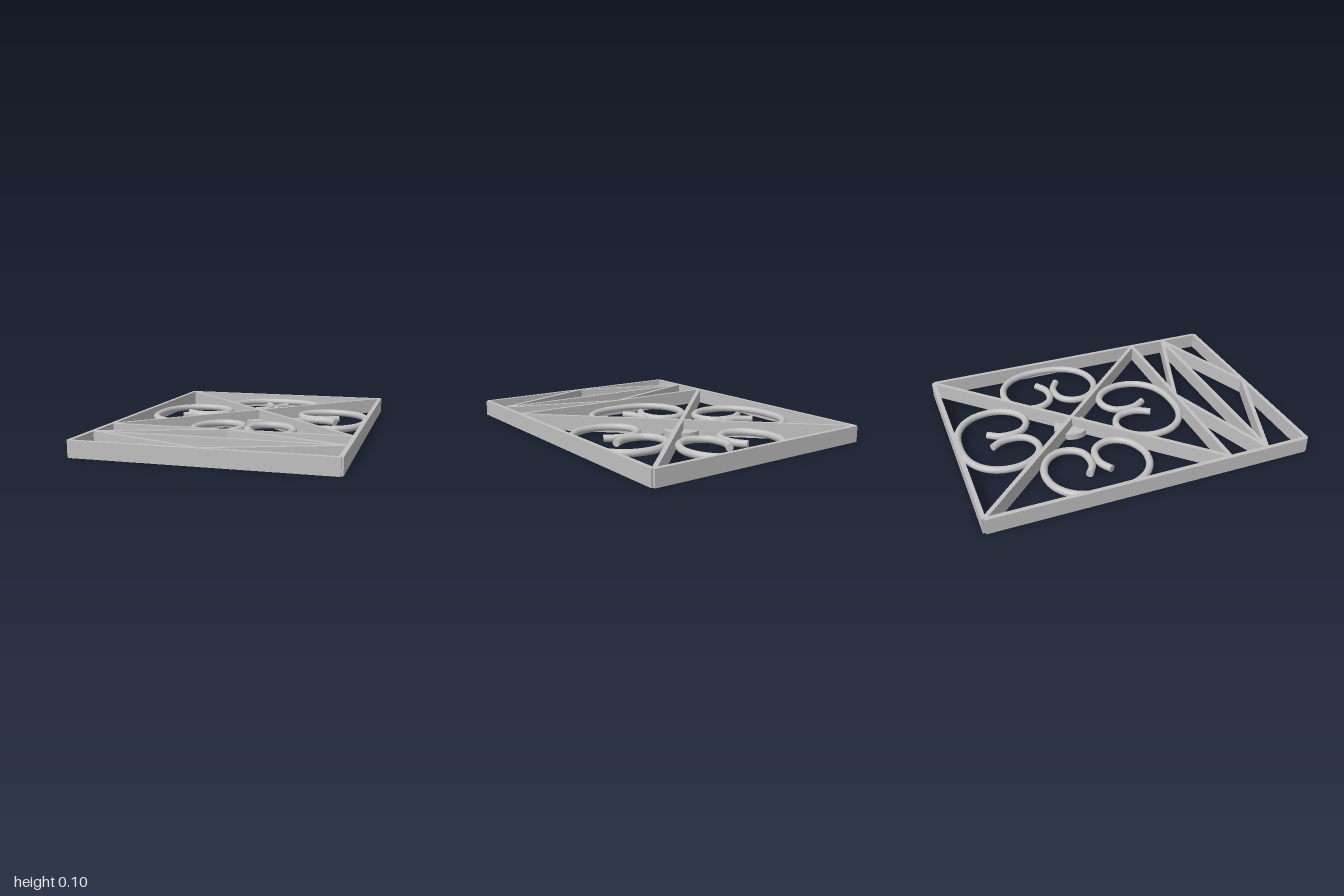
import * as THREE from 'three';

const HEIGHT = 0.097;
const BASE = 0.003;
const BAR = 0.026;
const CENTER_Z = -0.257;

export function createModel() {
  const model = new THREE.Group();
  model.name = 'ornamentalGrille';
  const iron = new THREE.MeshStandardMaterial({ color: 0xc0c0c0 });
  iron.name = 'grey iron';

  const add = (parent, name, geometry) => {
    const mesh = new THREE.Mesh(geometry, iron);
    mesh.name = name;
    parent.add(mesh);
    return mesh;
  };

  // Upright flat bar between two points on the ground plane
  const bar = (name, x1, z1, x2, z2, width = BAR) => {
    const length = Math.hypot(x2 - x1, z2 - z1);
    const mesh = add(model, name, new THREE.BoxGeometry(length, HEIGHT, width));
    mesh.position.set((x1 + x2) / 2, BASE + HEIGHT / 2, (z1 + z2) / 2);
    mesh.rotation.y = -Math.atan2(z2 - z1, x2 - x1);
  };

  // Outer frame and crossbars
  for (const s of [-1, 1]) {
    bar('sideBar', s * 0.734, -0.985, s * 0.734, 0.985);
    bar('endBar', -0.735, s * 0.987, 0.735, s * 0.987);
  }
  bar('dividerBar', -0.735, 0.472, 0.735, 0.472);
  bar('middleBar', -0.735, 0.718, 0.735, 0.718);

  // Diagonal cross of the square panel
  bar('diagonalBar', -0.725, -0.98, 0.725, 0.468);
  bar('diagonalBar', 0.725, -0.98, -0.725, 0.468);

  // Diamond lattice of the lower panel
  for (const s of [-1, 1]) {
    bar('latticeBar', s * 0.005, 0.472, s * 0.725, 0.718);
    bar('latticeBar', s * 0.005, 0.98, s * 0.725, 0.718);
  }

  // Hub disc under the crossing
  const hub = add(model, 'hubDisc', new THREE.CylinderGeometry(0.11, 0.11, 0.04, 40));
  hub.position.set(0, 0.02, CENTER_Z);

  // Half of a scroll, from its curled tip to the outer middle (sideways, outward)
  const half = [
    [0.069, 0.524], [0.028, 0.455], [0.021, 0.381], [0.042, 0.312], [0.101, 0.268],
    [0.175, 0.261], [0.249, 0.302], [0.296, 0.376], [0.312, 0.455], [0.291, 0.561],
    [0.228, 0.644], [0.132, 0.694],
  ];
  const outline = [...half, [0, 0.709], ...half.map(([u, v]) => [-u, v]).reverse()];
  const path = new THREE.CatmullRomCurve3(outline.map(([u, v]) => new THREE.Vector3(u, 0, -v)));
  const tube = new THREE.TubeGeometry(path, 120, 0.022, 16, false);
  const cap = new THREE.CircleGeometry(0.022, 16);

  // Four scrolls around the hub, each nudged slightly off centre
  const nudges = [[0.003, 0], [0, 0], [0.013, 0], [0, -0.004]];
  nudges.forEach(([dx, dz], i) => {
    const scroll = new THREE.Group();
    scroll.name = 'scroll';
    scroll.position.set(dx, 0.047, CENTER_Z + dz);
    scroll.rotation.y = i * Math.PI / 2;
    add(scroll, 'scrollTube', tube);
    for (const t of [0, 1]) {
      const end = add(scroll, 'scrollTip', cap);
      const outward = path.getTangentAt(t).multiplyScalar(t ? 1 : -1);
      end.position.copy(path.getPointAt(t));
      end.quaternion.setFromUnitVectors(new THREE.Vector3(0, 0, 1), outward);
    }
    model.add(scroll);
  });

  return model;
}
